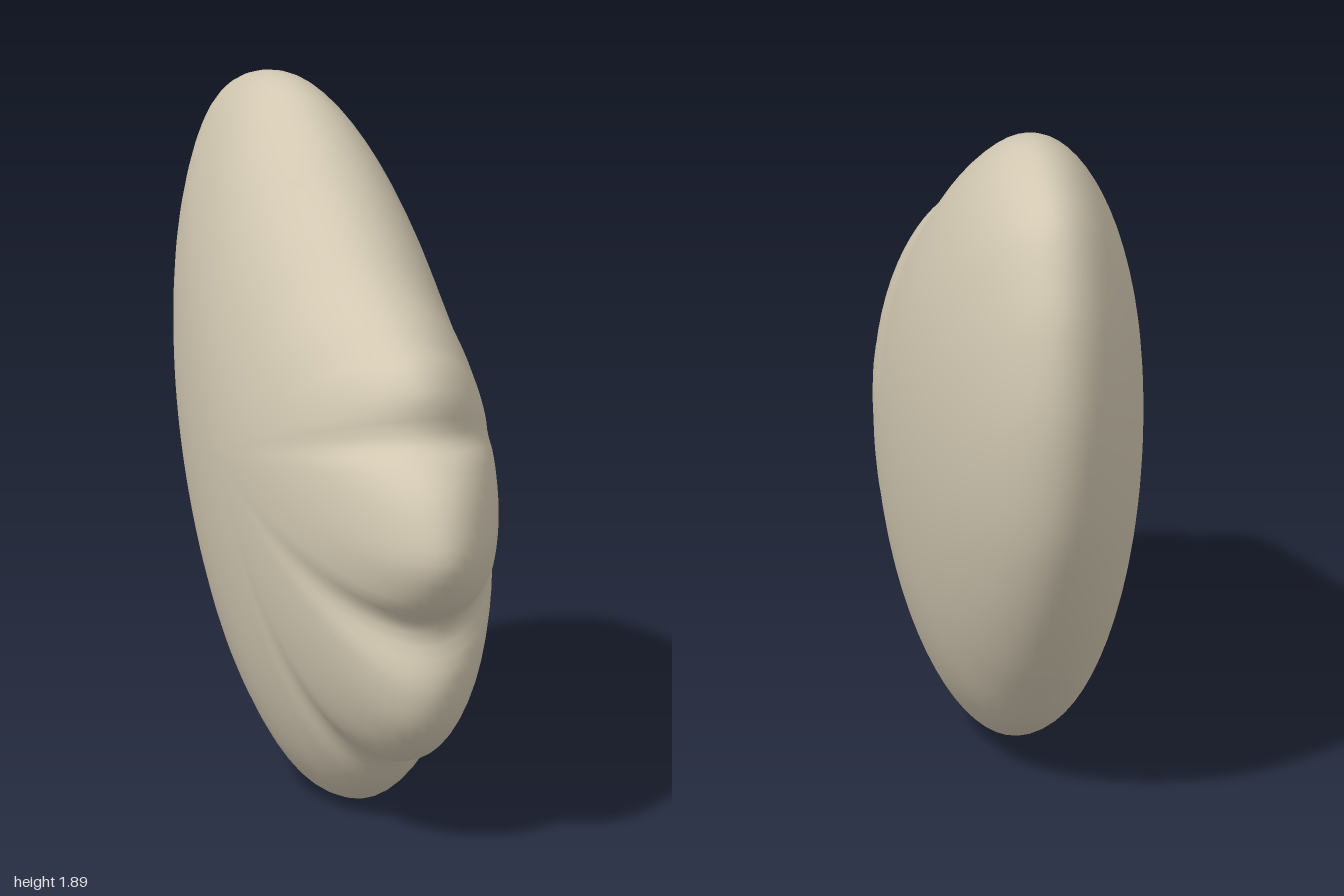
import * as THREE from 'three';

// Side outline as [z, y], from the top over the lobed front, the base and the back
const OUTLINE = [
  [-0.5, 1.89], [-0.34, 1.87], [-0.25, 1.83], [-0.12, 1.76], [0, 1.68], [0.15, 1.59],
  [0.28, 1.51], [0.4, 1.46], [0.51, 1.42], [0.61, 1.37], [0.69, 1.34], [0.755, 1.26],
  [0.765, 1.145], [0.86, 1.09], [0.95, 1.0], [1.0, 0.84], [0.95, 0.74], [0.9, 0.69],
  [0.82, 0.625], [0.86, 0.47], [0.83, 0.35], [0.72, 0.25], [0.62, 0.21], [0.49, 0.19],
  [0.4, 0.1], [0.3, 0.04], [0.2, 0.01], [0, 0], [-0.23, 0.08], [-0.38, 0.16],
  [-0.53, 0.29], [-0.66, 0.43], [-0.82, 0.66], [-0.94, 0.92], [-1, 1.25], [-0.98, 1.5],
  [-0.94, 1.62], [-0.84, 1.78], [-0.73, 1.84],
];
const CENTRE = new THREE.Vector2(-0.05, 0.95);
const HALF_WIDTH = 0.35;
const COLUMNS = 160;
const ROWS = 40;

// Outline with the notches averaged away, used for the inner rings
function smoothLoop(points, reach) {
  const n = points.length;
  return points.map((_, j) => {
    const sum = new THREE.Vector2();
    let total = 0;
    for (let k = -reach; k <= reach; k++) {
      const weight = reach + 1 - Math.abs(k);
      sum.addScaledVector(points[(j + k + n) % n], weight);
      total += weight;
    }
    return sum.divideScalar(total);
  });
}

// Flattened body: rings shrink from the lobed rim to the middle of each side
function lobedBody() {
  const curve = new THREE.CatmullRomCurve3(
    OUTLINE.map(([z, y]) => new THREE.Vector3(z, y, 0)), true, 'centripetal');
  const rim = curve.getSpacedPoints(COLUMNS).slice(0, COLUMNS)
    .map((p) => new THREE.Vector2(p.x, p.y).sub(CENTRE));
  const soft = smoothLoop(rim, 12);
  const positions = [];
  const indices = [];
  const p = new THREE.Vector2();

  for (let i = 0; i <= ROWS; i++) {
    const angle = (i / ROWS - 0.5) * Math.PI;
    const s = Math.cos(angle);
    for (let j = 0; j < COLUMNS; j++) {
      p.lerpVectors(soft[j], rim[j], s ** 4).multiplyScalar(s).add(CENTRE);
      // Pinch the surface along the notches so creases run into the sides
      const notch = Math.max(0, soft[j].length() - rim[j].length());
      const pinch = 1 - Math.min(0.4, 3 * notch) * s ** 4;
      const x = HALF_WIDTH * Math.sin(angle) * pinch - 0.02 * s * s;
      positions.push(x, p.y, p.x);
      if (i < ROWS) {
        const next = (j + 1) % COLUMNS;
        const a = i * COLUMNS + j;
        const b = i * COLUMNS + next;
        const c = b + COLUMNS;
        const d = a + COLUMNS;
        if (i > 0) indices.push(a, b, c);
        if (i < ROWS - 1) indices.push(a, c, d);
        else indices.push(a, b, d);
        if (i === 0) indices.push(a, b, c);
      }
    }
  }
  const geometry = new THREE.BufferGeometry();
  geometry.setAttribute('position', new THREE.Float32BufferAttribute(positions, 3));
  geometry.setIndex(indices);
  geometry.computeVertexNormals();
  return geometry;
}

export function createModel() {
  const group = new THREE.Group();
  group.name = 'lobedShell';
  const beige = new THREE.MeshStandardMaterial({ color: 0xd2c8b2 });
  beige.name = 'warm beige';
  const body = new THREE.Mesh(lobedBody(), beige);
  body.name = 'body';
  group.add(body);
  return group;
}
